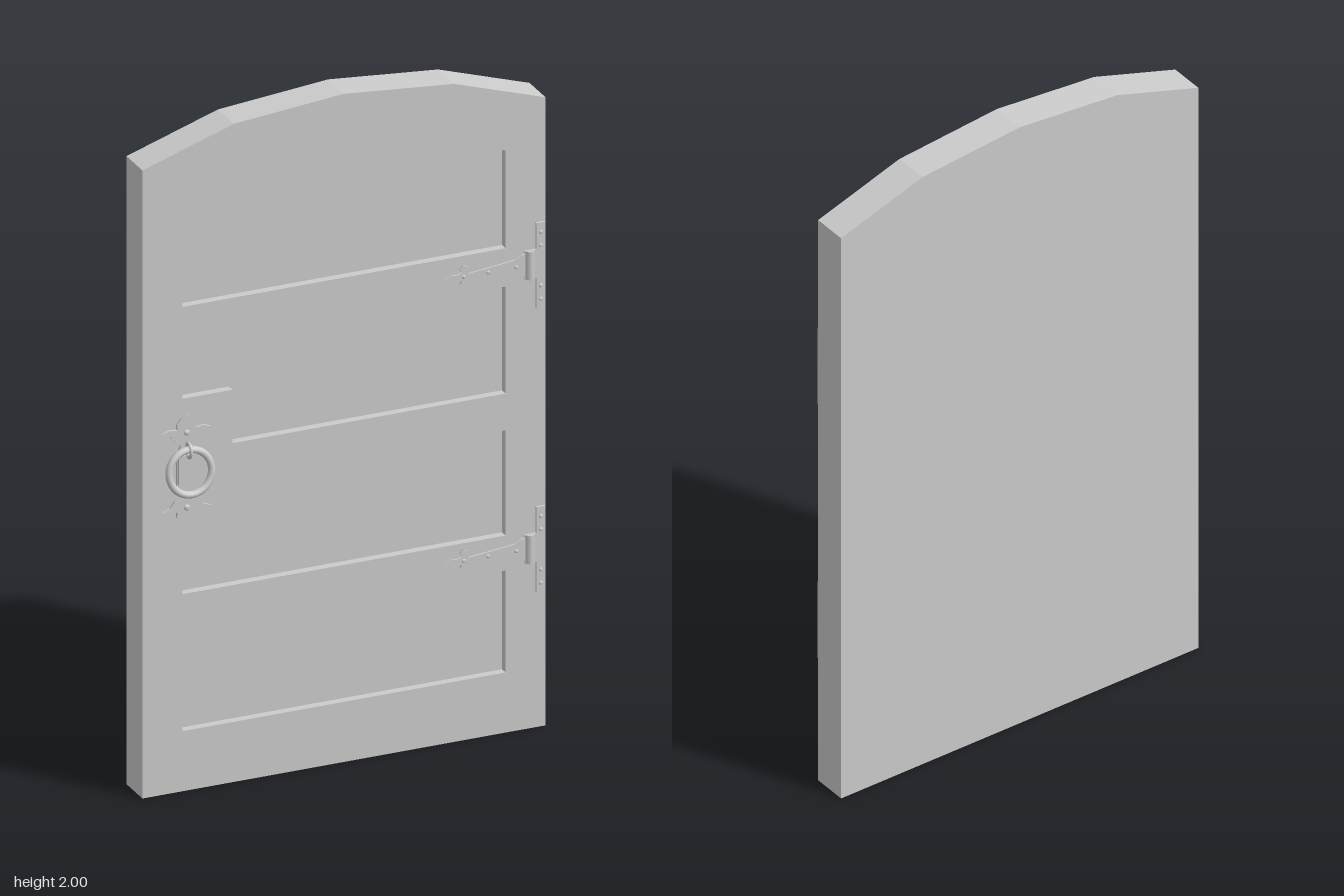
import * as THREE from 'three';

const material = new THREE.MeshStandardMaterial({ color: 0xcccccc });
const FACE = 0.027;      // front surface of the door
const RECESS = 0.003;    // front surface of the sunken panels
const BACK = -0.08;

const toShape = (pts) => new THREE.Shape(pts.map(([x, y]) => new THREE.Vector2(x, y)));

function add(parent, name, geometry, x = 0, y = 0, z = 0) {
  const mesh = new THREE.Mesh(geometry, material);
  mesh.name = name;
  mesh.position.set(x, y, z);
  parent.add(mesh);
  return mesh;
}

const extrude = (shape, depth) =>
  new THREE.ExtrudeGeometry(shape, { depth, bevelEnabled: false, curveSegments: 4 });

// Small domed nail head facing +z
function addNail(parent, x, y, z, r = 0.007) {
  const dome = new THREE.SphereGeometry(r, 10, 4, 0, Math.PI * 2, 0, Math.PI / 2);
  dome.rotateX(Math.PI / 2).scale(1, 1, 0.5);
  add(parent, 'nail', dome, x, y, z);
}

function createDoor() {
  const door = new THREE.Group();
  door.name = 'door';
  const outline = [[-0.605, 0], [0.605, 0], [0.605, 1.88], [0.33, 1.97], [0, 2], [-0.33, 1.97], [-0.605, 1.88]];
  const panels = [
    [[-0.485, 0.18], [0.485, 0.18], [0.485, 0.485], [-0.485, 0.485]],
    [[-0.485, 0.59], [0.485, 0.59], [0.485, 0.905], [-0.335, 0.905], [-0.335, 0.75], [-0.485, 0.75]],
    [[-0.485, 1.175], [-0.335, 1.175], [-0.335, 1.015], [0.485, 1.015], [0.485, 1.335], [-0.485, 1.335]],
    [[-0.485, 1.45], [0.485, 1.45], [0.485, 1.742], [0.33, 1.798], [0, 1.825], [-0.33, 1.798], [-0.485, 1.742]],
  ];
  // Solid slab behind, pierced frame in front
  add(door, 'slab', extrude(toShape(outline), RECESS - BACK), 0, 0, BACK);
  const frame = toShape(outline);
  panels.forEach((p) => frame.holes.push(toShape(p)));
  add(door, 'frame', extrude(frame, FACE - RECESS), 0, 0, RECESS);
  return door;
}

function createHandle() {
  const handle = new THREE.Group();
  handle.name = 'ringHandle';

  // Back plate: narrow middle with a three-pointed leaf at each end
  const half = [[0.03, 0], [0.03, 0.045], [0.018, 0.075], [0.035, 0.088], [0.05, 0.108], [0.073, 0.118],
    [0.05, 0.126], [0.028, 0.122], [0.03, 0.138], [0.016, 0.155], [0, 0.168]];
  const right = [...half.slice(1).map(([x, y]) => [x, -y]).reverse(), ...half];
  const left = right.slice(1, -1).map(([x, y]) => [-x, y]).reverse();
  add(handle, 'backPlate', extrude(toShape([...right, ...left]), 0.008));
  for (const s of [-1, 1]) addNail(handle, 0, s * 0.112, 0.008, 0.009);

  // Raised block in the middle of the plate
  add(handle, 'centreBlock', new THREE.BoxGeometry(0.056, 0.085, 0.012), 0, 0.005, 0.01);

  // Ring hanging with its lower side swung outward
  const ring = add(handle, 'ring', new THREE.TorusGeometry(0.064, 0.0105, 10, 32), 0, 0.003, 0.031);
  ring.rotation.x = -0.15;

  // Staple that holds the ring
  const staple = add(handle, 'staple', new THREE.TorusGeometry(0.016, 0.005, 8, 16), 0, 0.064, 0.021);
  staple.rotation.y = Math.PI / 2;
  staple.scale.y = 1.25;

  handle.position.set(-0.475, 0.963, FACE);
  return handle;
}

function createHinge(y) {
  const hinge = new THREE.Group();
  hinge.name = 'hinge';

  // Upright leaf along the door edge
  add(hinge, 'leaf', new THREE.BoxGeometry(0.027, 0.256, 0.007), 0.588, -0.007, 0.0035);
  for (const dy of [-0.107, -0.067, 0.053, 0.093]) addNail(hinge, 0.588, dy, 0.007, 0.006);

  // Knuckle of three barrels
  for (const dy of [-0.029, 0, 0.029]) {
    add(hinge, 'knuckle', new THREE.CylinderGeometry(0.013, 0.013, dy ? 0.026 : 0.032, 10), 0.556, dy, 0.004);
  }
  add(hinge, 'knucklePlate', new THREE.BoxGeometry(0.034, 0.086, 0.007), 0.558, 0, 0.0035);

  // Tapered strap ending in a leaf-shaped point
  const upper = [[0.545, 0.034], [0.53, 0.032], [0.51, 0.021], [0.43, 0.012], [0.395, 0.009], [0.372, 0.006],
    [0.366, 0.016], [0.374, 0.024], [0.356, 0.034], [0.346, 0.022], [0.352, 0.012], [0.335, 0.006],
    [0.322, 0.011], [0.303, 0]];
  const lower = upper.slice(0, -1).map(([x, h]) => [x, -h]).reverse();
  add(hinge, 'strap', extrude(toShape([...upper, ...lower]), 0.006));
  for (const x of [0.515, 0.43, 0.357]) addNail(hinge, x, 0, 0.006, 0.006);

  hinge.position.set(0, y, FACE);
  return hinge;
}

export function createModel() {
  const model = new THREE.Group();
  model.name = 'panelledDoor';
  model.add(createDoor(), createHandle(), createHinge(1.39), createHinge(0.54));
  return model;
}
